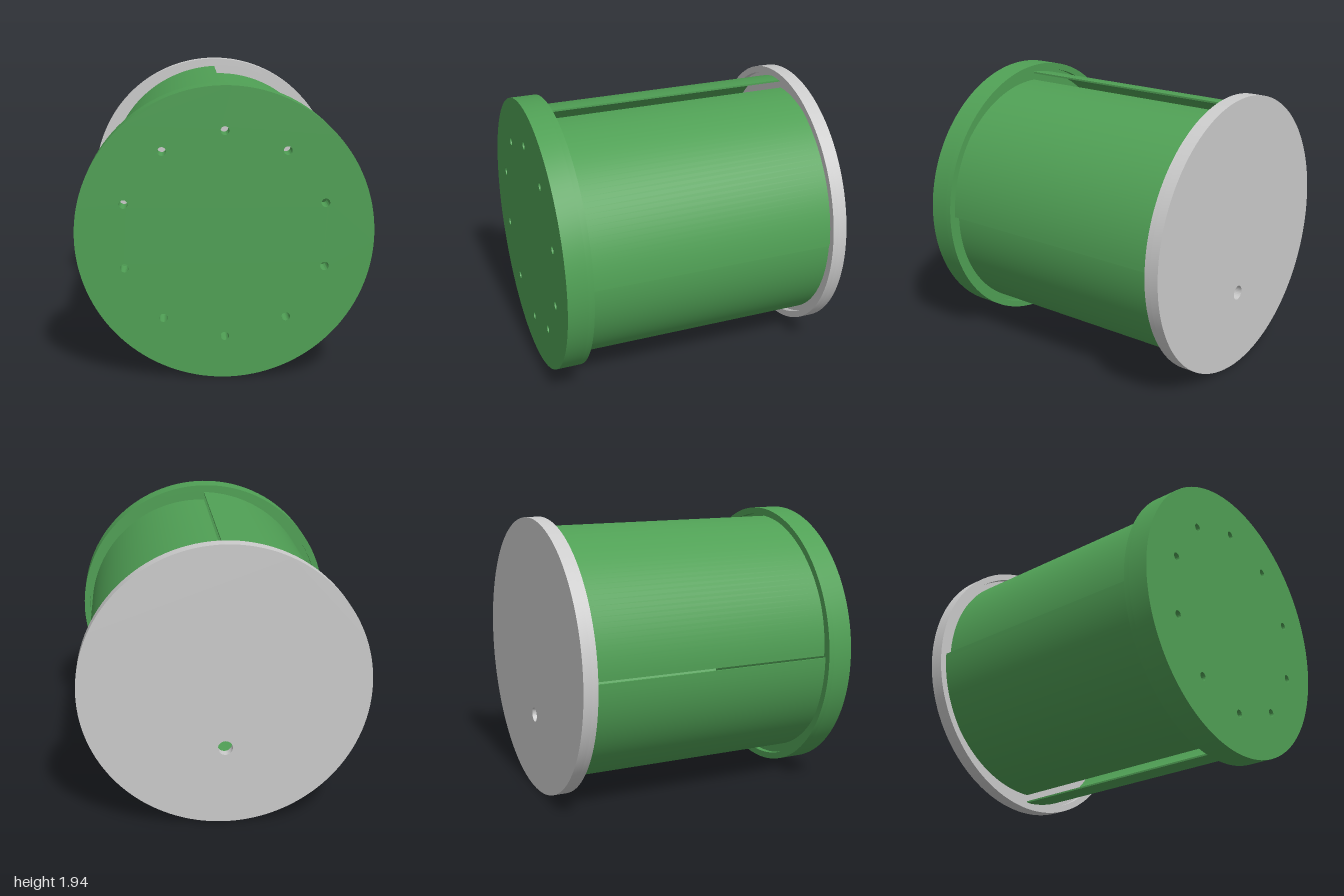
import * as THREE from 'three';
import { toCreasedNormals } from 'three/addons/utils/BufferGeometryUtils.js';

const R = 0.972;        // flange radius, also height of the axis
const LIP = 0.925;      // radius of the recess inside each flange
const RECESS = 0.04;    // depth of the recess
const green = new THREE.MeshStandardMaterial({ color: 0x50a055 });
const greenThin = new THREE.MeshStandardMaterial({ color: 0x50a055, side: THREE.DoubleSide });
const grey = new THREE.MeshStandardMaterial({ color: 0xcccccc });

function disc(radius, holes) {
  const shape = new THREE.Shape().absarc(0, 0, radius, 0, Math.PI * 2, false);
  for (const [x, y, r] of holes) {
    shape.holes.push(new THREE.Path().absarc(x, y, r, 0, Math.PI * 2, true));
  }
  return shape;
}

// Extrude a shape along z between two positions
function slab(name, shape, z0, z1, material, curveSegments = 64) {
  const geo = new THREE.ExtrudeGeometry(shape, { depth: z1 - z0, bevelEnabled: false, curveSegments });
  geo.translate(0, 0, z0);
  const mesh = new THREE.Mesh(toCreasedNormals(geo, 0.6), material);
  mesh.name = name;
  return mesh;
}

// Thin quarter wall whose radius grows from start to end, going clockwise from the top
function spiralWall() {
  const n = 36, thick = 0.012, outer = [], inner = [];
  for (let i = 0; i <= n; i++) {
    const t = i / n, a = Math.PI / 2 * (1 - t), r = 0.85 + 0.06 * t;
    outer.push(new THREE.Vector2(Math.cos(a) * r, Math.sin(a) * r));
    inner.push(new THREE.Vector2(Math.cos(a) * (r - thick), Math.sin(a) * (r - thick)));
  }
  return new THREE.Shape([...outer, ...inner.reverse()]);
}

export function createModel() {
  const model = new THREE.Group();
  model.name = 'slottedDrum';

  // Front flange with a ring of ten small holes
  const frontHoles = [];
  for (let i = 0; i < 10; i++) {
    const a = Math.PI / 2 + i * Math.PI / 5;
    frontHoles.push([Math.cos(a) * 0.685, Math.sin(a) * 0.685, 0.028]);
  }
  const front = new THREE.Group();
  front.name = 'frontFlange';
  front.add(slab('frontPlate', disc(R, frontHoles), 0.82 + RECESS, 1, green));
  front.add(slab('frontLip', disc(R, [[0, 0, LIP]]), 0.82, 0.82 + RECESS, green));

  // Back flange with one hole below the axis
  const back = new THREE.Group();
  back.name = 'backFlange';
  back.add(slab('backPlate', disc(R, [[0, -0.42, 0.05]]), -1, -0.9 - RECESS, grey));
  back.add(slab('backLip', disc(R, [[0, 0, LIP]]), -0.9 - RECESS, -0.9, grey));

  // Four curved walls with a lengthwise slot between each pair
  const walls = new THREE.Group();
  walls.name = 'drumWalls';
  for (let i = 0; i < 4; i++) {
    const wall = slab('curvedWall', spiralWall(), -0.9 - RECESS, 0.82 + RECESS, greenThin);
    wall.rotation.z = i * Math.PI / 2;
    walls.add(wall);
  }

  model.add(front, back, walls);
  model.children.forEach((part) => { part.position.y = R; });
  return model;
}
